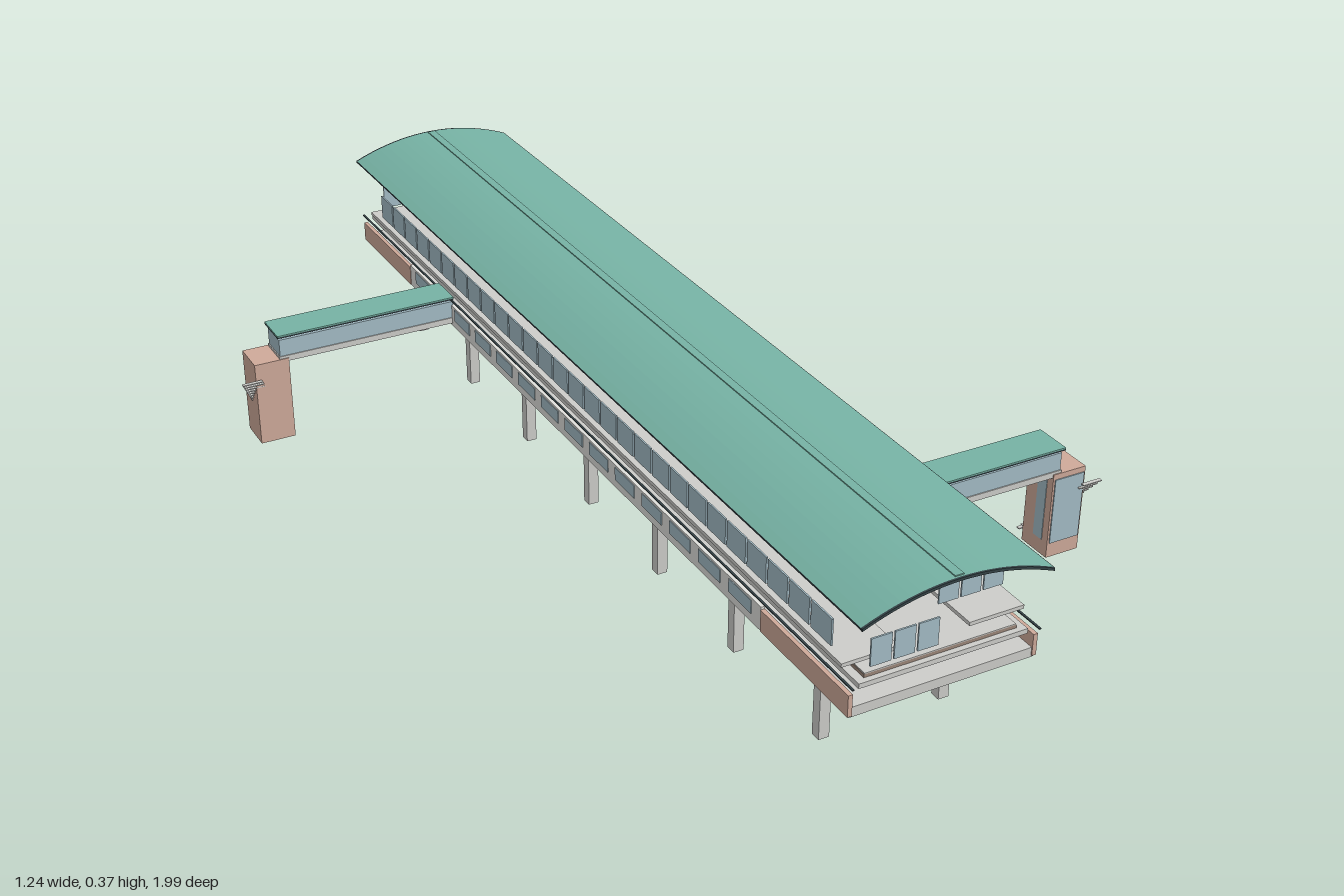
import * as THREE from 'three';

const mat = (name, color, side = THREE.FrontSide) => {
  const m = new THREE.MeshStandardMaterial({ color, side });
  m.name = name;
  return m;
};

export function createModel() {
  const green = mat('roof green', 0x76b2a4, THREE.DoubleSide);
  const brick = mat('brick', 0xcfaa9a);
  const concrete = mat('concrete', 0xcdcdca);
  const pale = mat('pale wall', 0xe0e0dc);
  const glass = mat('glass', 0xa4bcc6);
  const dark = mat('dark metal', 0x344246);
  const brown = mat('track bed edge', 0x9a8678);

  const model = new THREE.Group();
  model.name = 'elevatedStation';

  // box given by its min and max on each axis
  const box = (parent, name, m, x0, x1, y0, y1, z0, z1) => {
    const mesh = new THREE.Mesh(new THREE.BoxGeometry(x1 - x0, y1 - y0, z1 - z0), m);
    mesh.position.set((x0 + x1) / 2, (y0 + y1) / 2, (z0 + z1) / 2);
    mesh.name = name;
    parent.add(mesh);
    return mesh;
  };

  // arched roof: thin curved shell extruded along z
  const arcY = x => 0.371 - 0.036 * (x / 0.173) ** 2;
  const shell = t => {
    const top = [], bottom = [];
    for (let i = 0; i <= 20; i++) {
      const x = -0.173 + (0.346 * i) / 20;
      top.push(new THREE.Vector2(x, arcY(x)));
      bottom.unshift(new THREE.Vector2(x, arcY(x) - t));
    }
    return new THREE.Shape([...top, ...bottom]);
  };
  const extrude = (name, m, shape, z0, z1) => {
    const g = new THREE.ExtrudeGeometry(shape, { depth: z1 - z0, bevelEnabled: false });
    const mesh = new THREE.Mesh(g, m);
    mesh.position.z = z0;
    mesh.name = name;
    model.add(mesh);
  };
  extrude('roof', green, shell(0.004), -0.993, 0.993);
  extrude('roofEndTrimFront', dark, shell(0.005), 0.993, 0.997);
  extrude('roofEndTrimBack', dark, shell(0.005), -0.997, -0.993);
  box(model, 'ridgeCap', green, -0.008, 0.008, 0.369, 0.373, -0.99, 0.99);

  // lower deck, upper slab and track bed
  box(model, 'deck', concrete, -0.17, 0.17, 0.157, 0.175, -0.97, 0.97);
  box(model, 'upperSlab', concrete, -0.155, 0.155, 0.205, 0.214, -0.97, 0.97);
  box(model, 'trackBedEdge', brown, -0.14, 0.14, 0.214, 0.22, -0.96, 0.96);
  box(model, 'trackBed', concrete, -0.139, 0.139, 0.22, 0.222, -0.96, 0.96);

  // columns with crossbeams
  for (let i = -3; i <= 3; i++) {
    const z = i * 0.271;
    box(model, 'crossbeam', concrete, -0.15, 0.15, 0.15, 0.157, z - 0.012, z + 0.012);
    for (const x of [-0.115, 0.115])
      box(model, 'column', concrete, x - 0.01, x + 0.01, 0, 0.152, z - 0.01, z + 0.01);
  }

  // roof frames: tie beam and raking struts
  for (let i = 0; i < 19; i++) {
    const z = -0.9 + i * 0.1;
    box(model, 'tieBeam', dark, -0.148, 0.148, 0.325, 0.327, z - 0.001, z + 0.001);
    for (const x of [-0.1, -0.05, 0.05, 0.1]) {
      const s = box(model, 'strut', dark, x - 0.001, x + 0.001, 0.325, 0.35, z - 0.001, z + 0.001);
      s.rotation.z = -Math.sign(x) * 0.25;
    }
  }

  // one half of the station; the other is turned by 180 degrees.
  // zc is the bridge centre line, flip the slant of the stair
  const buildHalf = (zc, flip) => {
    const h = new THREE.Group();

    // eave, hangers and platform
    box(h, 'eave', dark, 0.17, 0.174, 0.332, 0.335, -0.995, 0.995);
    for (let i = 0; i < 19; i++) {
      const z = -0.9 + i * 0.1;
      box(h, 'hanger', dark, 0.147, 0.149, 0.31, arcY(0.148) - 0.003, z - 0.001, z + 0.001);
    }
    box(h, 'platform', concrete, 0.065, 0.168, 0.229, 0.236, -0.94, 0.94);

    // side window screen and end windows
    for (let i = 0; i < 28; i++) {
      const z = -0.907 + i * 0.064;
      box(h, 'sideWindow', glass, 0.163, 0.166, 0.247, 0.296, z, z + 0.059);
    }
    for (let i = 0; i < 3; i++) {
      const x = 0.031 + i * 0.042;
      box(h, 'nearEndWindow', glass, x, x + 0.037, 0.258, 0.308, 0.9, 0.903);
      box(h, 'farEndWindow', glass, x, x + 0.037, 0.258, 0.308, -0.992, -0.989);
    }

    // concourse wall: brick ends, pale middle with windows
    box(h, 'brickWallFront', brick, 0.166, 0.174, 0.16, 0.2, 0.715, 0.972);
    box(h, 'brickWallBack', brick, 0.166, 0.174, 0.16, 0.2, -0.972, -0.715);
    box(h, 'concourseWall', pale, 0.166, 0.173, 0.16, 0.205, -0.715, 0.715);
    box(h, 'wallRail', dark, 0.169, 0.173, 0.213, 0.215, -0.98, 0.98);
    for (let i = 0; i < 14; i++) {
      const z = -0.65 + i * 0.1;
      box(h, 'concourseWindow', glass, 0.172, 0.1745, 0.176, 0.201, z - 0.036, z + 0.036);
    }

    // footbridge
    const z0 = zc - 0.034, z1 = zc + 0.034;
    box(h, 'bridgeFloor', concrete, 0.17, 0.538, 0.166, 0.178, z0, z1);
    box(h, 'bridgeGlazing', glass, 0.17, 0.536, 0.178, 0.213, z0 + 0.002, z1 - 0.002);
    box(h, 'bridgeEave', dark, 0.17, 0.54, 0.219, 0.222, z0 - 0.003, z1 + 0.003);
    box(h, 'bridgeRoof', green, 0.17, 0.54, 0.222, 0.2245, z0 - 0.003, z1 + 0.003);

    // stair tower with glazed faces
    box(h, 'stairTower', brick, 0.52, 0.59, 0, 0.173, zc - 0.036, zc + 0.036);
    box(h, 'towerWindow', glass, 0.524, 0.587, 0.03, 0.162, zc + 0.035, zc + 0.038);
    box(h, 'towerInnerWindow', glass, 0.519, 0.521, 0.03, 0.162, zc - 0.005, zc + 0.02);

    // diagonal flight of thin treads climbing through the tower
    for (let i = 0; i < 16; i++) {
      const t = i / 15;
      const x = 0.54 + 0.06 * t, z = zc + flip * (-0.05 + 0.095 * t), y = 0.015 + 0.125 * t;
      box(h, 'tread', concrete, x - 0.02, x + 0.02, y, y + 0.002, z - 0.004, z + 0.004);
    }
    return h;
  };
  const left = buildHalf(0.524, 1);
  left.name = 'leftHalf';
  const right = buildHalf(0.534, -1);
  right.name = 'rightHalf';
  right.rotation.y = Math.PI;
  model.add(left, right);
  return model;
}
